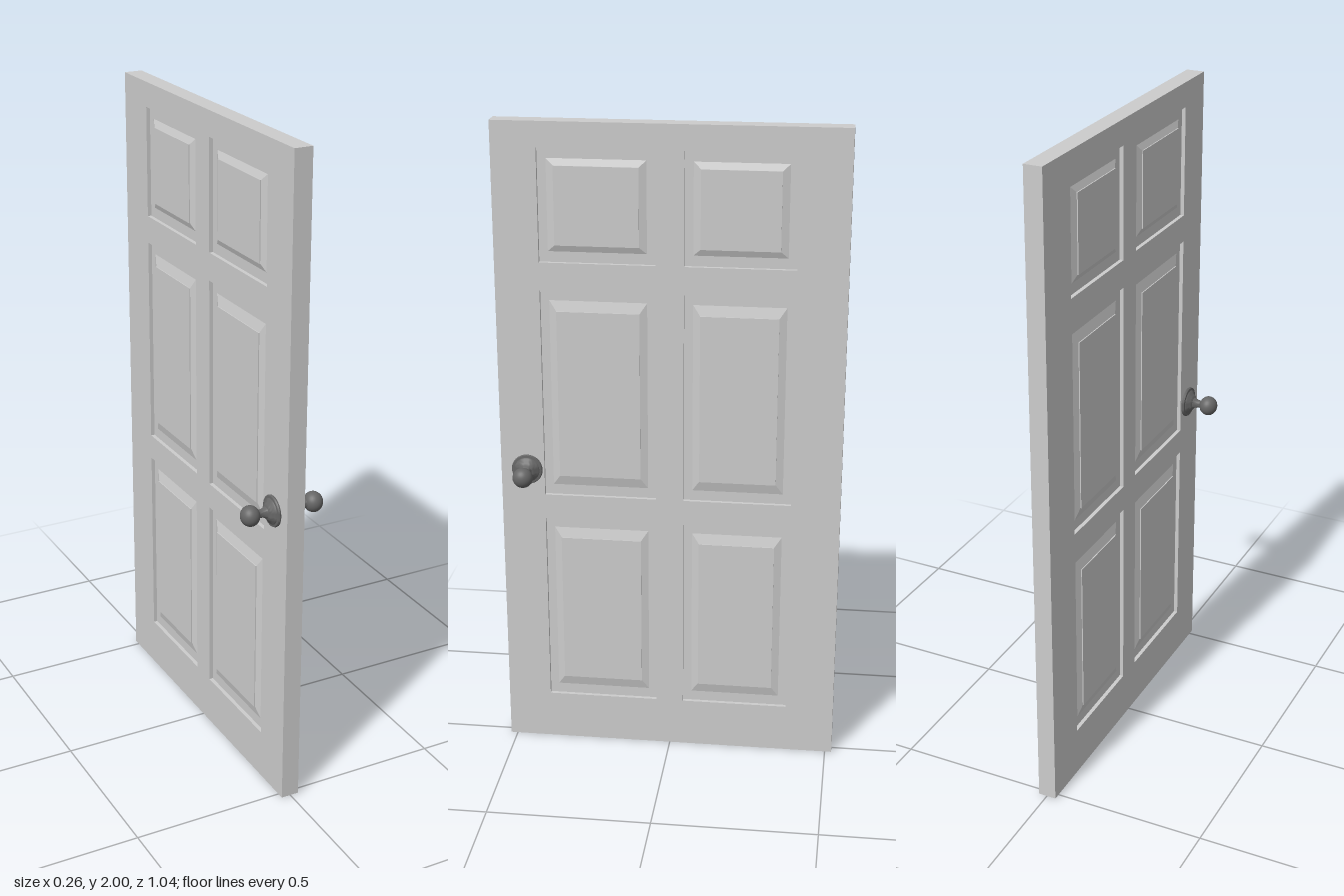
import * as THREE from 'three';
import { toCreasedNormals } from 'three/addons/utils/BufferGeometryUtils.js';

const HALF = 0.028, CX = -0.001, DEPTH = 0.012;
const columns = [[0.042, 0.387], [-0.371, -0.042]];           // z ranges
const rows = [[1.585, 1.924, 0.02], [0.848, 1.5, 0.032], [0.154, 0.768, 0.032]]; // y range, bevel height

// Raised panel for one face (side = +1 or -1), lofted through inset rectangles
function panelGeometry([z0, z1], [y0, y1, bevel], side) {
  const rings = [
    [0, 0, DEPTH],
    [0.026, 0.032, DEPTH],
    [0.048, 0.032 + bevel, 0.004],
    [0.048, 0.032 + bevel, 0.001],
  ].map(([iz, iy, d]) => {
    const x = side * (HALF - d);
    return [[x, y0 + iy, z1 - iz], [x, y0 + iy, z0 + iz], [x, y1 - iy, z0 + iz], [x, y1 - iy, z1 - iz]];
  });
  const pos = [];
  const quad = (a, b, c, d) => {
    if (side > 0) pos.push(...a, ...b, ...c, ...a, ...c, ...d);
    else pos.push(...a, ...c, ...b, ...a, ...d, ...c);
  };
  for (let r = 0; r < rings.length - 1; r++) {
    for (let i = 0; i < 4; i++) {
      const j = (i + 1) % 4;
      quad(rings[r][i], rings[r][j], rings[r + 1][j], rings[r + 1][i]);
    }
  }
  quad(...rings[rings.length - 1]);
  const g = new THREE.BufferGeometry();
  g.setAttribute('position', new THREE.Float32BufferAttribute(pos, 3));
  g.computeVertexNormals();
  return g;
}

// Stiles and rails: one slab with six openings
function frameGeometry() {
  const rect = (Type, z0, z1, y0, y1) => new Type([
    new THREE.Vector2(-z1, y0), new THREE.Vector2(-z0, y0),
    new THREE.Vector2(-z0, y1), new THREE.Vector2(-z1, y1),
  ]);
  const shape = rect(THREE.Shape, -0.521, 0.521, 0, 2);
  for (const [z0, z1] of columns)
    for (const [y0, y1] of rows) shape.holes.push(rect(THREE.Path, z0, z1, y0, y1));
  const g = new THREE.ExtrudeGeometry(shape, { depth: HALF * 2, bevelEnabled: false });
  return g.translate(0, 0, -HALF).rotateY(Math.PI / 2);
}

// Turned profile: radius and distance out from the door face
function lathe(points) {
  const g = new THREE.LatheGeometry(points.map(([r, h]) => new THREE.Vector2(r, h)), 32);
  return toCreasedNormals(g, 0.6);
}

export function createModel() {
  const model = new THREE.Group();
  model.name = 'door';
  const paint = new THREE.MeshStandardMaterial({ name: 'light grey paint', color: 0xcccccc });
  const metal = new THREE.MeshStandardMaterial({ name: 'dark metal', color: 0x666666 });
  const add = (parent, name, geometry, material) => {
    const mesh = new THREE.Mesh(geometry, material);
    mesh.name = name;
    parent.add(mesh);
    return mesh;
  };

  const leaf = new THREE.Group();
  leaf.name = 'doorLeaf';
  leaf.position.x = CX;
  model.add(leaf);
  add(leaf, 'frame', frameGeometry(), paint);
  for (const side of [1, -1])
    for (const column of columns)
      for (const row of rows) add(leaf, 'raisedPanel', panelGeometry(column, row, side), paint);

  // Knob with rosette and neck on each face
  for (const side of [1, -1]) {
    const handle = new THREE.Group();
    handle.name = side > 0 ? 'leftHandle' : 'rightHandle';
    handle.position.set(CX + side * HALF, 0.931, 0.44);
    handle.rotation.z = -side * Math.PI / 2;
    model.add(handle);
    add(handle, 'rosette', lathe([
      [0.047, 0], [0.048, 0.004], [0.046, 0.008], [0.039, 0.009], [0.036, 0.013],
      [0.029, 0.016], [0.025, 0.021], [0.018, 0.025], [0, 0.025],
    ]), metal);
    add(handle, 'neck', lathe([
      [0.02, 0.022], [0.016, 0.028], [0.013, 0.036], [0.012, 0.044], [0.013, 0.05], [0.016, 0.056],
    ]), metal);
    const knob = add(handle, 'knob', new THREE.SphereGeometry(0.031, 32, 20), metal);
    knob.position.y = 0.075;
    knob.scale.y = 0.92;
  }
  return model;
}
